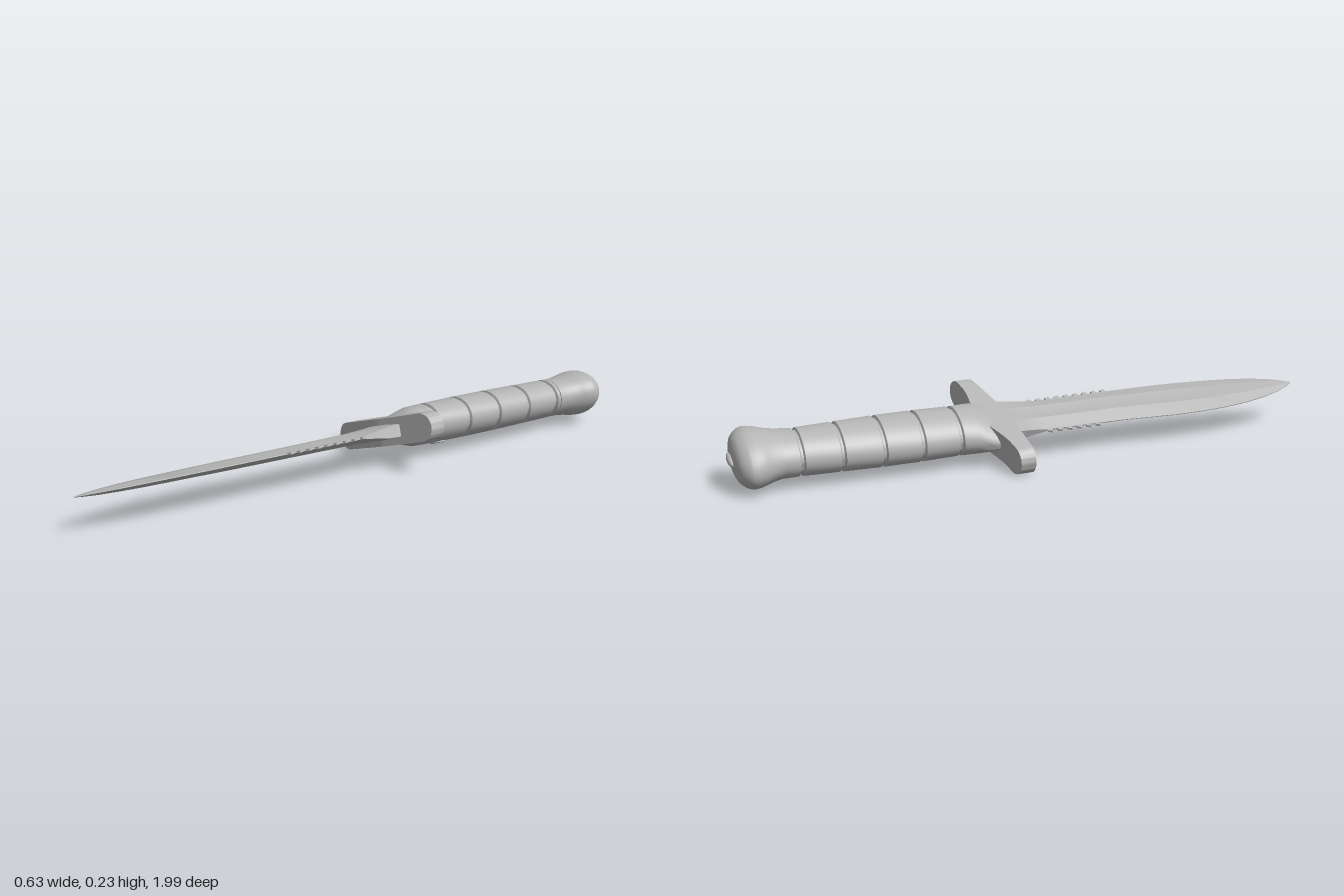
import * as THREE from 'three';
import { toCreasedNormals } from 'three/addons/utils/BufferGeometryUtils.js';

// Joins closed rings of [x, y, z] points into a capped solid.
function loft(rings, crease = 0.6) {
  const n = rings[0].length;
  const index = [];
  for (let i = 0; i < rings.length - 1; i++) {
    for (let j = 0; j < n; j++) {
      const k = (j + 1) % n;
      const a = i * n + j, b = i * n + k, c = b + n, d = a + n;
      index.push(a, b, c, a, c, d);
    }
  }
  const last = (rings.length - 1) * n;
  for (let j = 1; j < n - 1; j++) {
    index.push(0, j + 1, j, last, last + j, last + j + 1);
  }
  const g = new THREE.BufferGeometry();
  g.setAttribute('position', new THREE.Float32BufferAttribute(rings.flat(2), 3));
  g.setIndex(index);
  return toCreasedNormals(g.toNonIndexed(), crease);
}

function ellipse(z, a, b, x = 0, n = 40) {
  return Array.from({ length: n }, (_, i) => {
    const t = (i / n) * Math.PI * 2;
    return [x + a * Math.cos(t), b * Math.sin(t), z];
  });
}

// Linear lookup in a table of [position, values...].
function lookup(table, s) {
  let i = 0;
  while (i < table.length - 2 && s > table[i + 1][0]) i++;
  const p = table[i], q = table[i + 1];
  const t = THREE.MathUtils.clamp((s - p[0]) / (q[0] - p[0]), 0, 1);
  return p.map((v, k) => v + (q[k] - v) * t);
}

export function createModel() {
  const steel = new THREE.MeshStandardMaterial({ color: 0xb4b4b4 });
  steel.name = 'grey steel';
  const group = new THREE.Group();
  group.name = 'dagger';
  const add = (name, geometry, parent = group) => {
    const mesh = new THREE.Mesh(geometry, steel);
    mesh.name = name;
    parent.add(mesh);
    return mesh;
  };

  // Blade: position, half width, ridge half thickness, edge half thickness, centre offset
  const blade = [
    [0.0, 0.09, 0.026, 0.022, 0.012], [0.06, 0.088, 0.025, 0.02, 0.012],
    [0.11, 0.083, 0.022, 0.012, 0.016], [0.17, 0.082, 0.019, 0.003, 0.018],
    [0.45, 0.085, 0.017, 0.0015, 0.02], [0.65, 0.09, 0.016, 0.0015, 0.014],
    [0.75, 0.088, 0.015, 0.0015, 0.012], [0.85, 0.082, 0.014, 0.0015, 0.011],
    [0.94, 0.072, 0.013, 0.0015, 0.012], [1.02, 0.057, 0.011, 0.0015, 0.014],
    [1.09, 0.037, 0.008, 0.0012, 0.016], [1.14, 0.016, 0.004, 0.001, 0.018],
    [1.164, 0.001, 0.001, 0.0008, 0.02],
  ];
  add('blade', loft(blade.map(([s, w, t, e, c]) => {
    // a shallow fuller runs down the middle and fades toward the tip
    const f = s > 0.1 && s < 0.8 ? t * 0.8 : t;
    const half = [[w, -e], [w, e], [0.4 * w, t], [0.15 * w, f]];
    const upper = half.slice(1).concat([[-0.15 * w, f], [-0.4 * w, t], [-w, e]]);
    const lower = upper.map(([x, y]) => [-x, -y]);
    return [...upper, ...lower].map(([x, y]) => [x + c, y, s]);
  }), 0.25));

  // Saw teeth on both edges
  const teeth = new THREE.Group();
  teeth.name = 'sawTeeth';
  group.add(teeth);
  for (const [side, start, count] of [[-1, 0.18, 6], [1, 0.17, 9]]) {
    for (let i = 0; i < count; i++) {
      const s = start + i * 0.035;
      const [, w, , , c] = lookup(blade, s);
      const tooth = add('sawTooth', new THREE.BoxGeometry(0.022, 0.007, 0.017), teeth);
      tooth.position.set(c + side * (w - 0.001), 0, s);
      tooth.rotation.y = side * 0.35;
    }
  }

  // Guard: rounded bar, skewed along its length, swelling toward the grip
  const L = 0.24, R = 0.048;
  const guard = [];
  for (let i = 0; i <= 48; i++) {
    const x = -L * Math.cos((i / 48) * Math.PI);
    const over = Math.max(0, Math.abs(x) - (L - R));
    const h = Math.max(0.001, Math.sqrt(Math.max(0, R * R - over * over)));
    const front = 0.045 - 0.026 * Math.abs(x) / L - 0.15 * x;
    const back = -0.032 - 0.045 * Math.max(0, 1 - Math.abs(x) / 0.16) ** 1.5 - 0.15 * x;
    guard.push([[x, -h, back], [x, h, back], [x, h, front], [x, -h, front]]);
  }
  add('guard', loft(guard, 0.5));

  // Grip: oval handle with five grooves, chamfered into the guard
  const grip = [
    [-0.76, 0.092, 0.068], [-0.67, 0.091, 0.069], [-0.54, 0.096, 0.071],
    [-0.405, 0.101, 0.073], [-0.275, 0.102, 0.073], [-0.145, 0.099, 0.071],
    [-0.085, 0.105, 0.069], [-0.05, 0.115, 0.058], [-0.015, 0.12, 0.046],
  ];
  const grooves = [-0.67, -0.54, -0.405, -0.275, -0.145];
  const stations = grip.filter((p) => !grooves.includes(p[0])).map((p) => [p[0], 0]);
  for (const g of grooves) {
    stations.push([g - 0.008, 0], [g - 0.004, 0.008], [g + 0.004, 0.008], [g + 0.008, 0]);
  }
  stations.sort((p, q) => p[0] - q[0]);
  add('grip', loft(stations.map(([s, dip]) => {
    const [, a, b] = lookup(grip, s);
    return ellipse(s, a - dip, b - dip);
  })));

  // Pommel: flared rounded end
  const pommel = new THREE.CatmullRomCurve3([
    [0.003, 0.002, -0.878], [0.055, 0.036, -0.874], [0.1, 0.064, -0.86],
    [0.125, 0.081, -0.83], [0.121, 0.081, -0.8], [0.104, 0.074, -0.76],
    [0.094, 0.069, -0.72], [0.091, 0.068, -0.69],
  ].map((p) => new THREE.Vector3(...p)));
  add('pommel', loft(pommel.getPoints(28).map((p) => ellipse(p.z, p.x, p.y, 0.004)), 0.9));

  // Small oval cap on the end of the pommel
  const cap = add('pommelCap', new THREE.SphereGeometry(1, 20, 10));
  cap.scale.set(0.035, 0.014, 0.012);
  cap.position.set(0.004, 0, -0.878);

  // Round stud under the grip, close to the guard
  const rim = add('studRim', new THREE.TorusGeometry(0.024, 0.005, 8, 28));
  rim.rotation.x = Math.PI / 2;
  rim.position.set(0, -0.071, -0.19);
  const stud = add('stud', new THREE.CylinderGeometry(0.022, 0.022, 0.008, 28));
  stud.position.set(0, -0.069, -0.19);

  // Lay the dagger down, turned and rolled onto one end of its guard
  group.rotation.set(-0.013, -0.255, 0.35, 'YXZ');
  group.position.set(-0.02, 0.117, -0.14);
  const model = new THREE.Group();
  model.name = 'model';
  model.add(group);
  return model;
}
